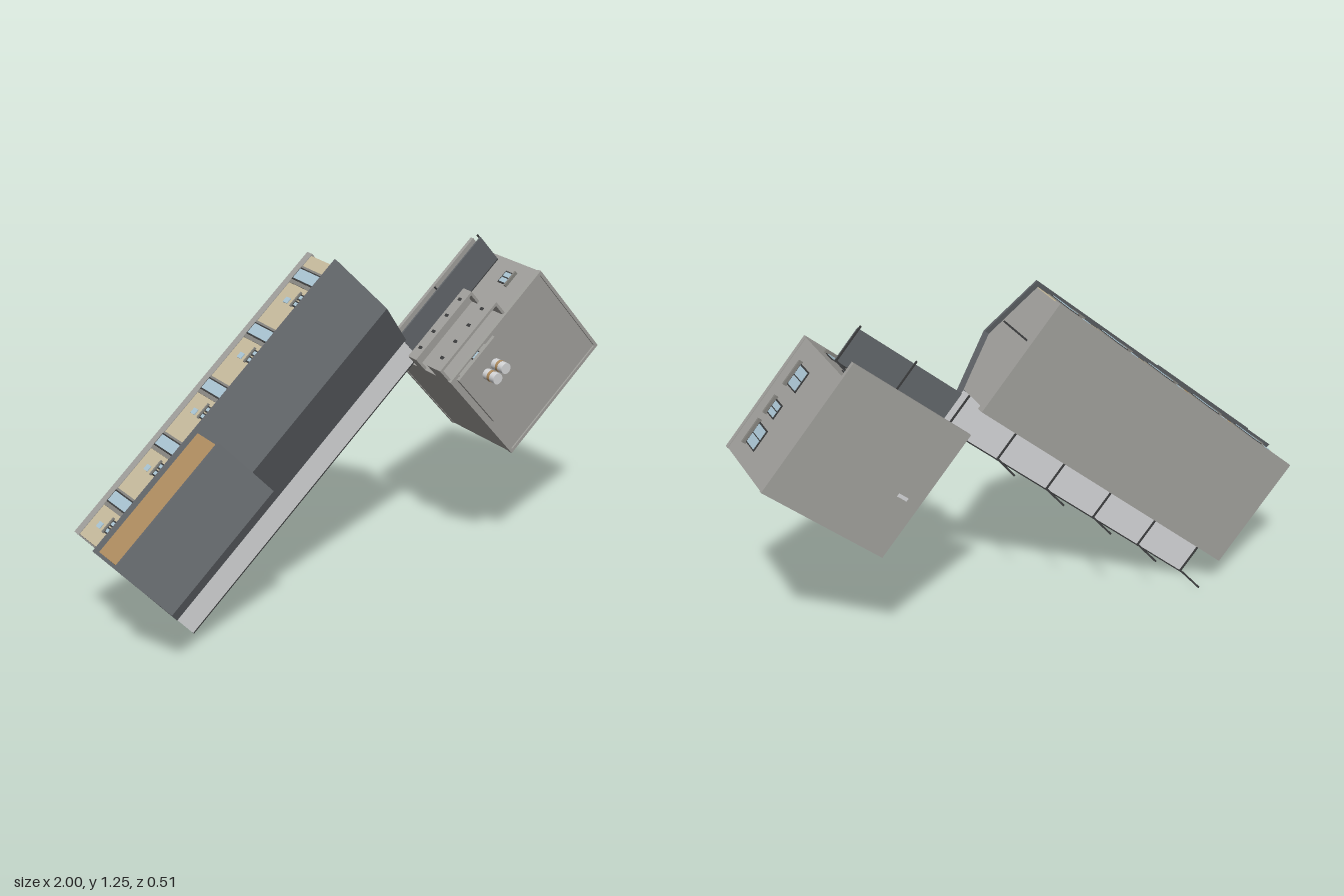
import * as THREE from 'three';

const mat = (name, color) => {
  const m = new THREE.MeshStandardMaterial({ color });
  m.name = name;
  return m;
};

export function createModel() {
  const M = {
    wall: mat('wall grey', 0xa09f9b),
    roof: mat('slate roof', 0x62666a),
    cream: mat('cream render', 0xc6ba9c),
    tan: mat('timber tan', 0xb08d60),
    pale: mat('pale sheet', 0xd4d5d7),
    glass: mat('window glass', 0xa9c4d2),
    dark: mat('dark frame', 0x3a3b3c),
    trim: mat('trim grey', 0x85847f),
  };

  // Plan lies in x (along the ridge) and y (across it); z is the storey height.
  const site = new THREE.Group();
  site.name = 'buildings';
  site.rotation.z = THREE.MathUtils.degToRad(40.5);
  const model = new THREE.Group();
  model.name = 'model';
  model.add(site);

  const add = (name, geo, m) => {
    const mesh = new THREE.Mesh(geo, m);
    mesh.name = name;
    site.add(mesh);
    return mesh;
  };
  const box = (name, m, x0, x1, y0, y1, z0, z1) => {
    const b = add(name, new THREE.BoxGeometry(x1 - x0, y1 - y0, z1 - z0), m);
    b.position.set((x0 + x1) / 2, (y0 + y1) / 2, (z0 + z1) / 2);
    return b;
  };
  // Cross-section in (y, z) swept along x
  const basis = new THREE.Matrix4().makeBasis(
    new THREE.Vector3(0, 1, 0), new THREE.Vector3(0, 0, 1), new THREE.Vector3(1, 0, 0));
  const sweep = (name, m, x0, x1, pts) => {
    const shape = new THREE.Shape(pts.map(p => new THREE.Vector2(p[0], p[1])));
    const g = new THREE.ExtrudeGeometry(shape, { depth: x1 - x0, bevelEnabled: false });
    g.applyMatrix4(basis);
    add(name, g, m).position.x = x0;
  };
  // Framed window on a wall facing +y or -y (s = 1 or -1), with n panes
  const windowY = (name, m, y, s, x0, x1, z0, z1, n = 1) => {
    const f = 0.005, at = d => [Math.min(y, y + s * d), Math.max(y, y + s * d)];
    box(name + 'Frame', M.dark, x0, x1, ...at(0.003), z0, z1);
    const w = (x1 - x0 - f) / n;
    for (let i = 0; i < n; i++)
      box(name, m, x0 + f + i * w, x0 + (i + 1) * w, ...at(0.005), z0 + f, z1 - f);
  };

  // Long house: plinth, gabled body, cream rear wall and roof
  box('plinth', M.wall, -0.46, 0.777, 0.538, 0.97, -0.255, -0.225);
  sweep('longHouseWalls', M.wall, -0.455, 0.77,
    [[0.55, -0.24], [0.965, -0.24], [0.965, -0.082], [0.745, -0.008], [0.55, -0.082]]);
  box('creamWall', M.cream, -0.455, 0.77, 0.965, 0.968, -0.225, -0.083);
  sweep('gableRoof', M.roof, -0.474, 0.788,
    [[0.525, -0.09], [0.745, -0.01], [0.984, -0.087], [0.984, -0.079], [0.745, 0], [0.525, -0.082]]);
  box('gablePipe', M.dark, 0.77, 0.775, 0.807, 0.813, -0.225, -0.045);

  // Attic with a single-pitch roof
  sweep('atticWalls', M.tan, -0.462, 0.042,
    [[0.752, -0.03], [0.97, -0.085], [0.97, 0.064], [0.752, 0.136]]);
  sweep('atticRoof', M.roof, -0.474, 0.05,
    [[0.742, 0.136], [0.984, 0.059], [0.984, 0.067], [0.742, 0.145]]);
  for (let i = 0; i < 4; i++) {
    const c = -0.37 + i * 0.12;
    box('atticWindow', M.glass, c - 0.034, c + 0.034, 0.748, 0.753, 0.035, 0.1);
    for (const z of [0.056, 0.077])
      box('atticWindowBar', M.dark, c - 0.034, c + 0.034, 0.747, 0.75, z, z + 0.002);
  }

  // Repeating bays of doors and windows
  for (let i = 0; i < 5; i++) {
    const d = i * 0.245;
    // rear side
    box('rearDoorSurround', M.trim, -0.329 + d, -0.257 + d, 0.966, 0.971, -0.225, -0.088);
    windowY('rearDoor', M.glass, 0.97, 1, -0.315 + d, -0.265 + d, -0.222, -0.092);
    for (const [x, z] of [[-0.402, -0.125], [-0.374, -0.125]])
      windowY('rearSmallWindow', M.glass, 0.967, 1, x + d, x + 0.023 + d, z, z + 0.027);
    box('rearSill', M.trim, -0.406 + d, -0.345 + d, 0.967, 0.976, -0.13, -0.125);
    box('rearVent', M.glass, -0.402 + d, -0.38 + d, 0.967, 0.971, -0.18, -0.155);
    // walkway side
    windowY('walkwayWindow', M.glass, 0.55, -1, -0.42 + d, -0.358 + d, -0.2, -0.11, 2);
    windowY('walkwayDoor', M.tan, 0.55, -1, -0.318 + d, -0.25 + d, -0.24, -0.118);
  }

  // Covered walkway: sheets, edge beam, cross beams and posts
  box('walkwayCanopy', M.pale, -0.472, 0.785, 0.413, 0.55, -0.11, -0.106);
  box('linkCanopy', M.roof, 0.785, 1.25, 0.41, 0.538, -0.111, -0.105);
  box('canopyEdgeBeam', M.dark, -0.472, 1.25, 0.41, 0.414, -0.113, -0.105);
  for (let i = 0; i < 8; i++) {
    const x = -0.47 + i * 0.245;
    box('canopyCrossBeam', M.dark, x, x + 0.005, 0.41, 0.55, -0.116, -0.11);
    box('canopyPost', M.dark, x, x + 0.006, 0.412, 0.418, -0.245, -0.11);
  }

  // Square house with slab and low roof rim
  box('houseSlab', M.wall, 0.755, 1.272, -0.043, 0.455, -0.25, -0.236);
  box('houseBody', M.wall, 0.757, 1.27, -0.042, 0.4, -0.24, 0.1);
  for (const [a, b, c, d] of [[0.755, 1.272, -0.044, -0.032], [0.755, 1.272, 0.39, 0.402],
    [0.755, 0.767, -0.032, 0.39], [1.26, 1.272, -0.032, 0.39]])
    box('roofRim', M.wall, a, b, c, d, 0.09, 0.106);
  box('undersideVent', M.pale, 0.81, 0.85, 0.16, 0.172, -0.253, -0.249);

  // Side windows with projecting lintels
  for (const [y0, y1, z0] of [[0.02, 0.1, -0.062], [0.138, 0.192, -0.045], [0.25, 0.33, -0.062]]) {
    box('sideWindowFrame', M.dark, 1.27, 1.273, y0, y1, z0, 0.012);
    const mid = (y0 + y1) / 2;
    for (const [a, b] of [[y0 + 0.005, mid - 0.002], [mid + 0.002, y1 - 0.005]])
      box('sideWindow', M.glass, 1.27, 1.275, a, b, z0 + 0.005, 0.007);
    box('sideLintel', M.trim, 1.27, 1.284, y0 - 0.007, y1 + 0.007, 0.012, 0.02);
  }

  // Windows facing the long house
  windowY('tallWindow', M.glass, 0.4, 1, 0.894, 1.0, -0.236, -0.122, 2);
  windowY('wideWindow', M.glass, 0.4, 1, 1.144, 1.223, -0.21, -0.135, 2);
  windowY('upperWindow', M.glass, 0.4, 1, 1.172, 1.223, -0.04, 0.008, 2);
  windowY('balconyWindow', M.glass, 0.4, 1, 0.88, 1.0, -0.045, 0.005, 3);
  box('upperLintel', M.trim, 1.165, 1.23, 0.4, 0.413, 0.008, 0.015);

  // Balconies with slotted parapets
  for (const [z0, z1] of [[-0.092, -0.045], [0.02, 0.095]]) {
    box('balconyFloor', M.wall, 0.757, 1.075, 0.4, 0.462, z0, z0 + 0.01);
    box('balconyParapet', M.wall, 0.757, 1.075, 0.452, 0.462, z0, z1);
    for (const x of [0.757, 1.065]) box('balconyEnd', M.wall, x, x + 0.01, 0.4, 0.452, z0, z1);
    for (let i = 0; i < 4; i++) {
      const x = 0.8 + i * 0.075, z = (z0 + z1) / 2;
      box('parapetSlot', M.dark, x, x + 0.011, 0.46, 0.464, z - 0.008, z + 0.008);
    }
  }

  // Roof room, its cap and banded flues
  box('roofRoom', M.wall, 0.795, 0.94, 0.215, 0.395, 0.1, 0.187);
  box('roofRoomCap', M.wall, 0.757, 0.957, 0.21, 0.46, 0.186, 0.199);
  windowY('roofRoomWindow', M.glass, 0.395, 1, 0.868, 0.907, 0.105, 0.14);
  const flue = (name, m, r, z0, z1, x, y) => {
    const c = add(name, new THREE.CylinderGeometry(r, r, z1 - z0, 20), m);
    c.rotation.x = Math.PI / 2;
    c.position.set(x, y, (z0 + z1) / 2);
  };
  for (const [x, y] of [[0.85, 0.379], [0.896, 0.379]]) {
    flue('flue', M.pale, 0.02, 0.198, 0.258, x, y);
    flue('flueBand', M.tan, 0.021, 0.222, 0.234, x, y);
  }

  return model;
}
